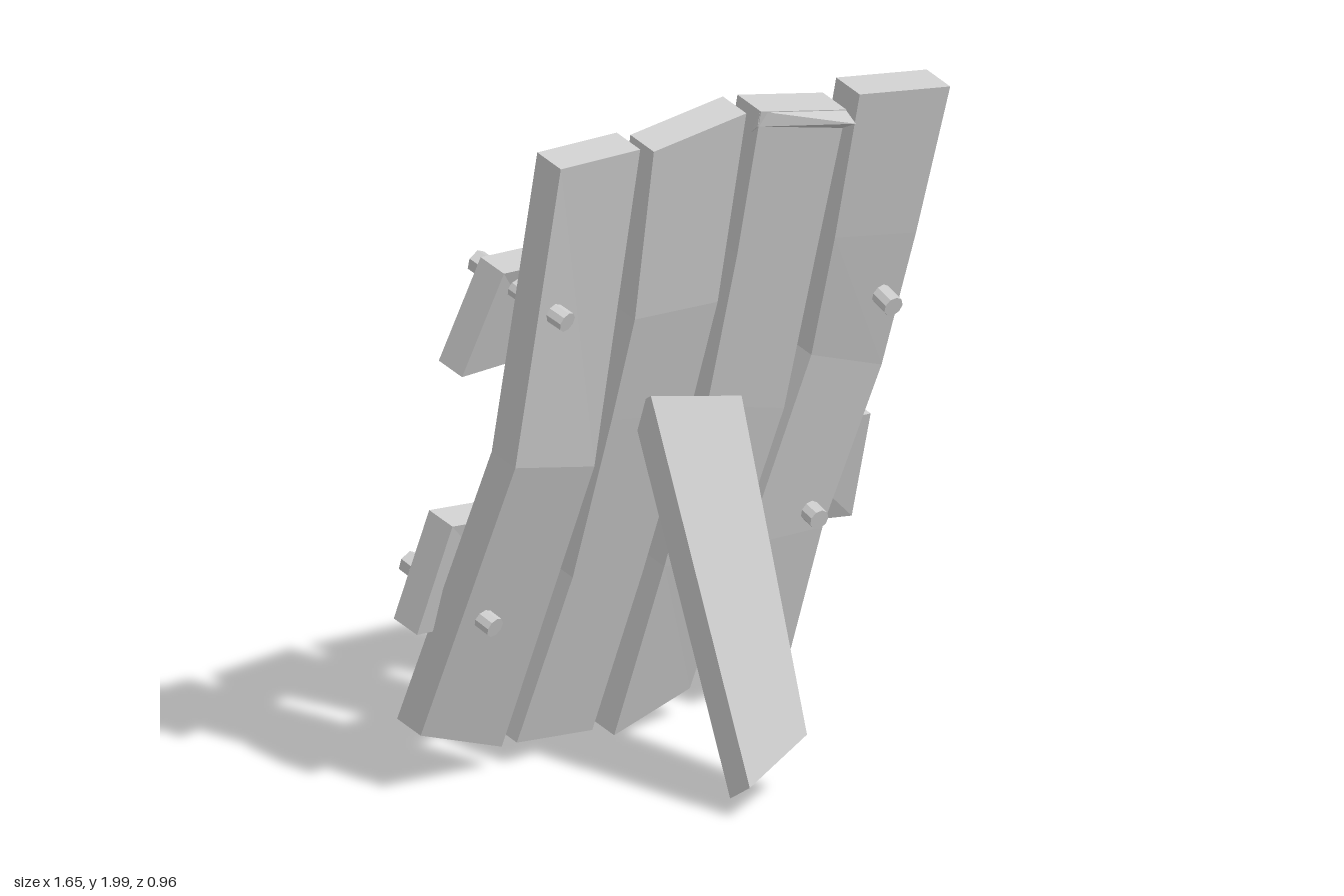
import * as THREE from 'three';

const material = new THREE.MeshStandardMaterial({ color: 0xcccccc, flatShading: true, side: THREE.DoubleSide });

// Skin a list of matching cross-sections (each a ring of [x, y, z] corners) and cap both ends.
function loft(name, sections) {
  const tris = [];
  const n = sections[0].length;
  for (let i = 0; i < sections.length - 1; i++) {
    const a = sections[i], b = sections[i + 1];
    for (let k = 0; k < n; k++) {
      const m = (k + 1) % n;
      tris.push([a[k], a[m], b[m]], [a[k], b[m], b[k]]);
    }
  }
  const first = sections[0], last = sections[sections.length - 1];
  for (let k = 1; k < n - 1; k++) {
    tris.push([first[0], first[k + 1], first[k]], [last[0], last[k], last[k + 1]]);
  }
  // Turn the faces outward if the enclosed volume is negative.
  const v = (p) => new THREE.Vector3(...p);
  const volume = tris.reduce((s, [a, b, c]) => s + v(a).dot(v(b).cross(v(c))), 0);
  if (volume < 0) tris.forEach((t) => t.reverse());
  const geometry = new THREE.BufferGeometry();
  geometry.setAttribute('position', new THREE.Float32BufferAttribute(tris.flat(2), 3));
  geometry.computeVertexNormals();
  const mesh = new THREE.Mesh(geometry, material);
  mesh.name = name;
  return mesh;
}

// Upright plank: rows of [left x, left y, right x, right y, centre z], leaning forward at the top.
function plank(name, rows) {
  const lean = 0.3, dy = 0.013, dz = 0.048;
  return loft(name, rows.map(([xl, yl, xr, yr, z]) => {
    const shift = (lean * (yl - yr)) / 2;
    return [
      [xl, yl - dy, z + shift + dz], [xr, yr - dy, z - shift + dz],
      [xr, yr + dy, z - shift - dz], [xl, yl + dy, z + shift - dz],
    ];
  }));
}

// Cross beam: rows of [top x, top y, top back z, bottom x, bottom y, bottom back z].
function beam(name, rows) {
  const dy = -0.025, dz = 0.095;
  return loft(name, rows.map(([xt, yt, zt, xb, yb, zb]) => [
    [xt, yt, zt], [xt, yt + dy, zt + dz], [xb, yb + dy, zb + dz], [xb, yb, zb],
  ]));
}

// Bolt running from its front tip to the hexagonal head at the back.
function bolt(name, from, to) {
  const group = new THREE.Group();
  group.name = name;
  const start = new THREE.Vector3(...from), end = new THREE.Vector3(...to);
  const length = start.distanceTo(end);
  const add = (part, radius, low, high, sides) => {
    const mesh = new THREE.Mesh(new THREE.CylinderGeometry(radius, radius, high - low, sides), material);
    mesh.position.y = (low + high) / 2;
    mesh.name = part;
    group.add(mesh);
  };
  add('shaft', 0.03, 0, length - 0.05, 9);
  add('flange', 0.043, length - 0.065, length - 0.045, 10);
  add('head', 0.034, length - 0.045, length, 6);
  group.position.copy(start);
  group.quaternion.setFromUnitVectors(new THREE.Vector3(0, 1, 0), end.sub(start).normalize());
  return group;
}

export function createModel() {
  const model = new THREE.Group();
  model.name = 'proppedPlankPanel';

  // Four warped planks
  model.add(
    plank('plankOuterRight', [
      [-0.74, 1.975, -0.44, 1.965, 0.2],
      [-0.735, 1.06, -0.42, 0.99, 0.0],
      [-0.765, 0.205, -0.43, 0.09, -0.36],
    ]),
    plank('plankInnerRight', [
      [-0.385, 1.945, -0.05, 1.985, 0.2],
      [-0.345, 1.42, -0.03, 1.4, 0.07],
      [-0.335, 1.1, -0.03, 1.05, -0.04],
      [-0.325, 0.6, -0.05, 0.55, -0.21],
      [-0.375, 0.09, -0.085, 0.06, -0.38],
    ]),
    plank('plankInnerLeft', [
      [0, 1.98, 0.34, 1.905, 0.2],
      [0.03, 1.53, 0.345, 1.45, 0.07],
      [0.045, 1.05, 0.355, 0.97, -0.07],
      [0.03, 0.55, 0.3, 0.52, -0.22],
      [0, 0.025, 0.26, 0.11, -0.375],
    ]),
    plank('plankOuterLeft', [
      [0.385, 1.94, 0.74, 1.88, 0.185],
      [0.425, 1.48, 0.745, 1.42, 0.04],
      [0.46, 1.1, 0.75, 1.0, -0.1],
      [0.36, 0.53, 0.65, 0.52, -0.245],
      [0.36, 0.14, 0.64, 0.14, -0.365],
    ]),
  );

  // Raised splinter at the top of the inner left plank
  model.add(loft('splinter', [
    [[0, 1.967, 0.255], [0, 1.92, 0.245], [0, 1.9, 0.22]],
    [[0.34, 1.89, 0.235], [0.34, 1.86, 0.275], [0.34, 1.83, 0.21]],
  ]));

  // Two bowed beams across the back
  model.add(
    beam('upperBeam', [
      [-0.765, 1.64, -0.05, -0.83, 1.33, -0.15],
      [-0.42, 1.615, -0.07, -0.43, 1.3, -0.23],
      [0, 1.59, -0.08, 0.03, 1.28, -0.235],
      [0.42, 1.51, -0.07, 0.42, 1.19, -0.18],
      [0.815, 1.49, -0.08, 0.825, 1.17, -0.185],
    ]),
    beam('lowerBeam', [
      [-0.765, 0.855, -0.26, -0.815, 0.53, -0.35],
      [-0.4, 0.83, -0.24, -0.4, 0.505, -0.355],
      [0.02, 0.82, -0.27, -0.02, 0.53, -0.43],
      [0.42, 0.85, -0.27, 0.43, 0.54, -0.435],
      [0.79, 0.84, -0.25, 0.82, 0.51, -0.36],
    ]),
  );

  // Prop leg leaning against the front
  const front = [
    [[-0.22, 1.14, 0.05], [0.11, 1.07, 0.06]],
    [[-0.24, 0.11, 0.475], [0.02, 0.195, 0.425]],
  ];
  const back = ([x, y, z]) => [x, y - 0.05, z - 0.08];
  model.add(loft('propLeg', front.map(([l, r]) => [l, r, back(r), back(l)])));

  // Bolts through planks and beams
  model.add(
    bolt('upperRightBolt', [-0.67, 1.49, 0.2], [-0.71, 1.6, -0.13]),
    bolt('upperLeftBolt', [0.66, 1.21, 0.08], [0.705, 1.32, -0.24]),
    bolt('lowerRightBolt', [-0.665, 0.53, -0.1], [-0.69, 0.65, -0.43]),
    bolt('lowerLeftBolt', [0.575, 0.56, -0.13], [0.63, 0.66, -0.475]),
  );
  return model;
}
